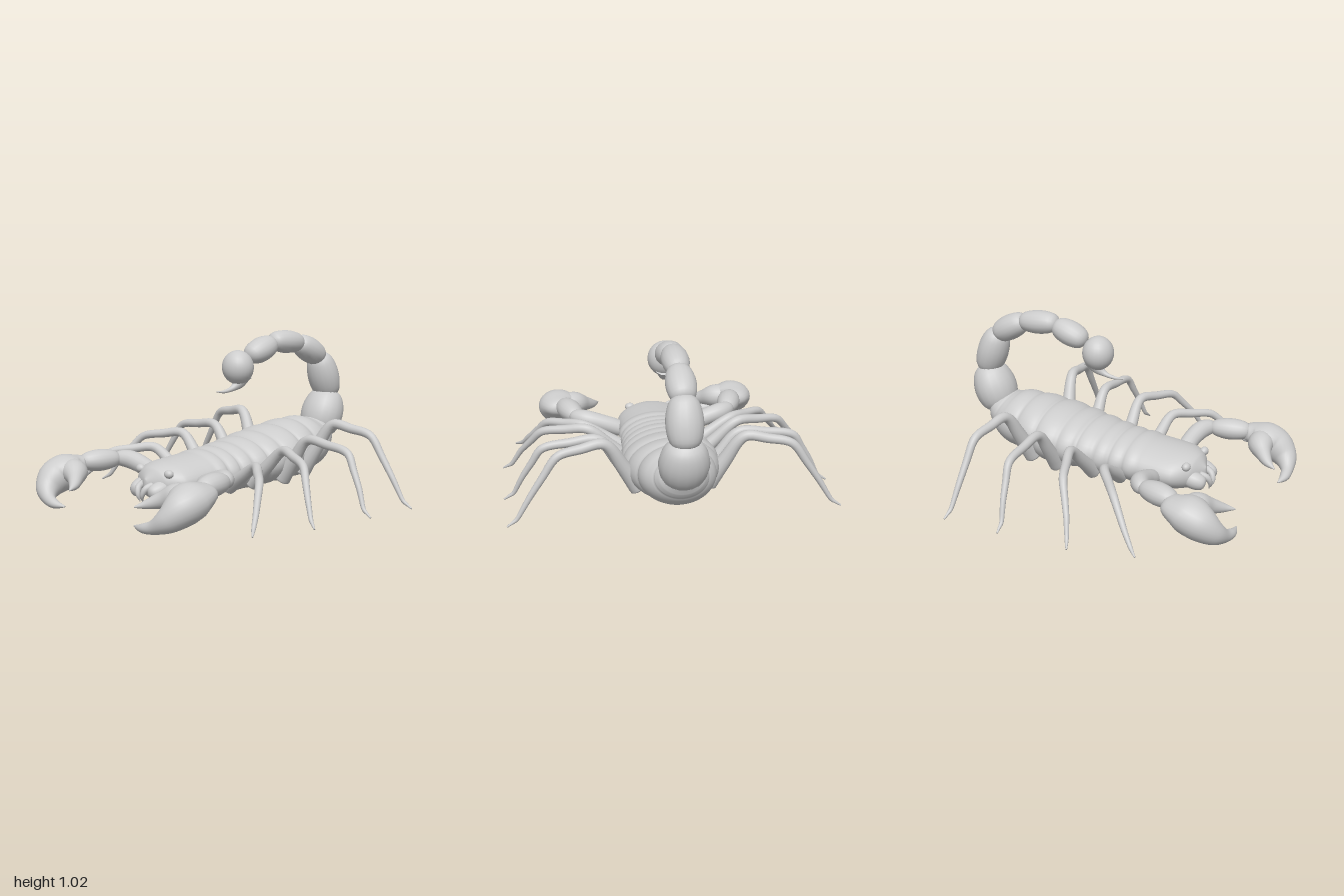
import * as THREE from 'three';

const V = (x, y, z) => new THREE.Vector3(x, y, z);
const AX = { x: V(1, 0, 0), y: V(0, 1, 0), z: V(0, 0, 1) };

// Sweep elliptical rings: f(t) gives centre c, half-width w and half-height h (h lies along ref)
function loft(f, ref, rings = 14, sides = 20) {
  const pos = [], idx = [];
  for (let i = -1; i <= rings + 1; i++) {
    const t = Math.min(1, Math.max(0, i / rings));
    const cap = i < 0 || i > rings ? 0 : 1;
    const { c, w, h } = f(t);
    const T = f(Math.min(1, t + 0.01)).c.clone().sub(f(Math.max(0, t - 0.01)).c).normalize();
    const up = ref.clone().addScaledVector(T, -ref.dot(T)).normalize();
    const side = up.clone().cross(T);
    for (let j = 0; j < sides; j++) {
      const a = (j / sides) * Math.PI * 2;
      const p = c.clone().addScaledVector(side, cap * w * Math.cos(a)).addScaledVector(up, cap * h * Math.sin(a));
      pos.push(p.x, p.y, p.z);
    }
  }
  for (let i = 0; i < rings + 2; i++) {
    for (let j = 0; j < sides; j++) {
      const k = (j + 1) % sides, a = i * sides, b = a + sides;
      idx.push(a + j, a + k, b + k, a + j, b + k, b + j);
    }
  }
  const g = new THREE.BufferGeometry();
  g.setAttribute('position', new THREE.Float32BufferAttribute(pos, 3));
  g.setIndex(idx);
  g.computeVertexNormals();
  return g;
}

// Smooth sweep through stations [x, y, z, w, h]
function through(st, ref, rings, sides, mod = () => 1) {
  const path = new THREE.CatmullRomCurve3(st.map(s => V(s[0], s[1], s[2])));
  const size = new THREE.CatmullRomCurve3(st.map(s => V(s[3], s[4] ?? s[3], 0)), false, 'catmullrom', 0.5);
  return loft(t => {
    const c = path.getPoint(t), r = size.getPoint(t), m = mod(c);
    return { c, w: r.x * m, h: r.y * m };
  }, ref, rings, sides);
}

// Round-ended segment with radii at start, middle and end
function bead(a, b, [r0, rm, r1], ref, flat = 1) {
  const d = b.clone().sub(a).normalize();
  const p = a.clone().addScaledVector(d, -r0 * 0.5), q = b.clone().addScaledVector(d, r1 * 0.5);
  return loft(t => {
    const u = (1 - Math.cos(t * Math.PI)) / 2;
    const end = Math.sqrt(Math.max(0, 1 - Math.abs(2 * u - 1) ** 8));
    const r = (r0 + (r1 - r0) * u + (rm - (r0 + r1) / 2) * Math.sin(u * Math.PI)) * end;
    return { c: p.clone().lerp(q, u), w: r, h: r * flat };
  }, ref, 16, 18);
}

// Jointed limb: stations crowd the joints [x, y, z, r] so the bends stay tight
function limb(joints) {
  const st = [joints[0]];
  for (let i = 1; i < joints.length; i++) {
    for (const u of [0.1, 0.5, 0.9]) {
      st.push(joints[i].map((v, k) => joints[i - 1][k] + (v - joints[i - 1][k]) * u));
    }
  }
  st.push(joints.at(-1));
  return through(st, AX.z, 64, 14);
}

export function createModel() {
  const model = new THREE.Group();
  const shell = new THREE.MeshStandardMaterial({ color: 0xcccccc });
  shell.name = 'light grey shell';
  const add = (name, geo, parent = model) => {
    const m = new THREE.Mesh(geo, shell);
    m.name = name;
    parent.add(m);
    return m;
  };
  const ball = (name, x, y, z, sx, sy, sz) => {
    const m = add(name, new THREE.SphereGeometry(1, 24, 16));
    m.position.set(x, y, z);
    m.scale.set(sx, sy, sz);
    return m;
  };

  // Body with scalloped plates
  const seams = [0.25, 0.155, 0.06, -0.04, -0.16, -0.28, -0.44, -0.6, -0.78];
  const plates = c => {
    const i = seams.findIndex((s, k) => c.z <= s && c.z > seams[k + 1]);
    if (i < 0) return 0.96;
    const u = (seams[i] - c.z) / (seams[i] - seams[i + 1]);
    return 0.92 + 0.1 * Math.sqrt(Math.sin(Math.PI * u));
  };
  add('body', through([
    [0, 0.18, 0.625, 0.012, 0.03], [0, 0.18, 0.57, 0.14, 0.095], [0, 0.185, 0.48, 0.228, 0.122],
    [0, 0.195, 0.3, 0.24, 0.134], [0, 0.205, 0.1, 0.24, 0.142], [0, 0.225, -0.1, 0.258, 0.156],
    [0, 0.25, -0.3, 0.28, 0.17], [0, 0.265, -0.45, 0.276, 0.18], [0, 0.287, -0.6, 0.24, 0.18],
    [0, 0.315, -0.72, 0.2, 0.155], [0, 0.36, -0.82, 0.14, 0.105], [0, 0.38, -0.87, 0.07, 0.05],
  ], AX.y, 160, 40, plates));

  // Tail: y, z of both ends, radii, width factor
  [
    [0.37, -0.83, 0.585, -0.915, [0.095, 0.13, 0.08], 1.12],
    [0.6, -0.915, 0.835, -0.835, [0.07, 0.098, 0.065], 1.1],
    [0.845, -0.82, 0.94, -0.65, [0.06, 0.08, 0.055], 1.1],
    [0.945, -0.64, 0.965, -0.42, [0.052, 0.073, 0.052], 1.1],
    [0.95, -0.4, 0.885, -0.22, [0.05, 0.077, 0.05], 1.1],
  ].forEach(([y0, z0, y1, z1, r, f], i) =>
    add('tailSegment' + (i + 1), bead(V(0, y0, z0), V(0, y1, z1), r, AX.x, f)));
  ball('tailBulb', 0, 0.82, -0.115, 0.102, 0.106, 0.097);
  add('stinger', through([
    [0, 0.77, -0.14, 0.07], [0, 0.725, -0.12, 0.042], [0, 0.692, -0.07, 0.018],
    [0, 0.677, 0, 0.01], [0, 0.682, 0.065, 0.002],
  ], AX.x, 24, 14));

  // Leg joints from front pair to back pair, each x, y, z, radius
  const legs = [
    [[0.2, 0.13, 0.14, 0.045], [0.47, 0.3, 0.17, 0.03], [0.69, 0.26, 0.35, 0.025], [0.8, 0.11, 0.48, 0.018],
      [0.845, 0.045, 0.54, 0.013], [0.89, 0.018, 0.59, 0.005]],
    [[0.21, 0.13, -0.04, 0.048], [0.46, 0.37, -0.06, 0.03], [0.74, 0.325, 0.05, 0.025], [0.87, 0.16, 0.145, 0.018],
      [0.93, 0.055, 0.18, 0.013], [0.985, 0.018, 0.208, 0.005]],
    [[0.22, 0.13, -0.29, 0.052], [0.42, 0.405, -0.3, 0.03], [0.76, 0.365, -0.3, 0.025], [0.88, 0.17, -0.27, 0.018],
      [0.935, 0.055, -0.25, 0.013], [0.995, 0.015, -0.245, 0.005]],
    [[0.21, 0.15, -0.47, 0.055], [0.405, 0.475, -0.535, 0.032], [0.69, 0.43, -0.58, 0.026], [0.85, 0.19, -0.595, 0.019],
      [0.93, 0.055, -0.605, 0.013], [0.99, 0.015, -0.615, 0.005]],
  ];

  for (const s of [1, -1]) {
    const side = s > 0 ? 'left' : 'right';
    const flip = st => st.map(p => [p[0] * s, ...p.slice(1)]);

    legs.forEach((joints, i) => add(side + 'Leg' + (i + 1), limb(flip(joints))));

    // Pincer arm and claw
    const claw = new THREE.Group();
    claw.name = side + 'Pincer';
    model.add(claw);
    add('upperArm', through(flip([
      [0.17, 0.15, 0.36, 0.03], [0.23, 0.18, 0.37, 0.052], [0.34, 0.22, 0.375, 0.055],
      [0.44, 0.245, 0.395, 0.057], [0.5, 0.25, 0.435, 0.045], [0.515, 0.25, 0.465, 0.02],
    ]), AX.y, 26, 18), claw);
    add('forearm', bead(V(0.5 * s, 0.25, 0.45), V(0.56 * s, 0.245, 0.66), [0.045, 0.075, 0.05], AX.y, 0.9), claw);
    add('hand', through(flip([
      [0.55, 0.235, 0.65, 0.05, 0.045], [0.575, 0.225, 0.69, 0.11, 0.068], [0.59, 0.2, 0.77, 0.132, 0.105],
      [0.6, 0.16, 0.85, 0.11, 0.105], [0.57, 0.105, 0.92, 0.075, 0.075], [0.5, 0.062, 0.96, 0.04, 0.042],
      [0.42, 0.045, 0.972, 0.029, 0.027], [0.335, 0.042, 0.965, 0.006, 0.005],
    ]), AX.y, 50, 24), claw);
    add('finger', through(flip([
      [0.57, 0.21, 0.76, 0.07, 0.07], [0.48, 0.205, 0.785, 0.08, 0.075], [0.41, 0.18, 0.83, 0.05, 0.05],
      [0.35, 0.155, 0.885, 0.03, 0.028], [0.308, 0.14, 0.945, 0.004, 0.004],
    ]), AX.y, 30, 18), claw);

    // Eyes and mouthparts
    ball(side + 'Eye', 0.132 * s, 0.25, 0.55, 0.032, 0.026, 0.026);
    add(side + 'Jaw', bead(V(0.095 * s, 0.16, 0.55), V(0.075 * s, 0.135, 0.635), [0.045, 0.054, 0.036], AX.y));
    add(side + 'Fang', through(flip([
      [0.05, 0.18, 0.6, 0.022], [0.035, 0.16, 0.645, 0.02], [0.02, 0.12, 0.66, 0.014], [0.012, 0.08, 0.65, 0.002],
    ]), AX.x, 16, 12));
  }
  return model;
}
